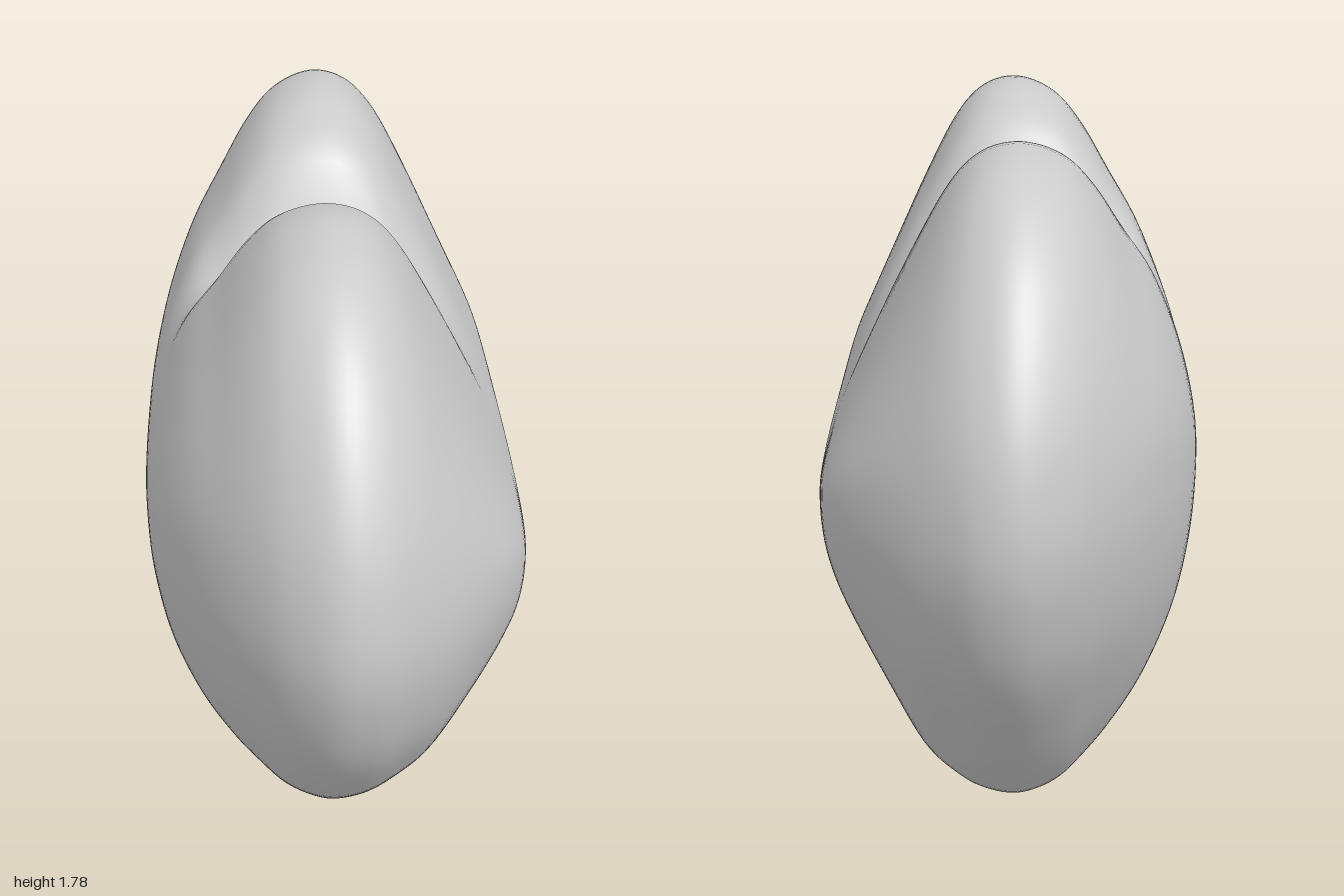
import * as THREE from 'three';

// Half of the heart outline as (z, y), from the notch round to the tip
const HALF = [[0, 1.46], [0.04, 1.52], [0.1, 1.64], [0.15, 1.71], [0.22, 1.75], [0.38, 1.78], [0.6, 1.745],
  [0.8, 1.6], [0.95, 1.36], [1, 1.13], [0.97, 0.95], [0.88, 0.755], [0.7, 0.525], [0.5, 0.31], [0.3, 0.14],
  [0.1, 0.025], [0.04, 0.004], [0, 0]];

// Slices through the thickness: x, top y, bottom y, half width, roundness (0 heart, 1 oval)
const SLICES = [
  [-0.447, 0.99, 0.94, 0.05, 1], [-0.442, 1.08, 0.79, 0.2, 0.95], [-0.428, 1.18, 0.67, 0.34, 0.85],
  [-0.39, 1.31, 0.51, 0.515, 0.7], [-0.33, 1.455, 0.34, 0.66, 0.48], [-0.26, 1.57, 0.21, 0.785, 0.28],
  [-0.19, 1.68, 0.11, 0.88, 0.13], [-0.12, 1.75, 0.035, 0.95, 0.04], [-0.03, 1.78, 0, 0.998, 0],
  [0.055, 1.76, 0.015, 0.99, 0], [0.127, 1.69, 0.06, 0.945, 0.08], [0.207, 1.545, 0.155, 0.87, 0.22],
  [0.29, 1.365, 0.345, 0.765, 0.44], [0.36, 1.2, 0.53, 0.655, 0.68], [0.4, 1.1, 0.65, 0.555, 0.82],
  [0.425, 1.03, 0.74, 0.4, 0.9], [0.438, 0.99, 0.82, 0.21, 0.97], [0.445, 0.94, 0.89, 0.05, 1]];

const spline = (points) => new THREE.CatmullRomCurve3(points, false, 'catmullrom', 0.5);

// Closed outline, normalised so that z spans -1..1 and y spans 0..1
function outline(count) {
  const half = spline(HALF.map(([z, y]) => new THREE.Vector3(z, y / 1.78, 0))).getSpacedPoints(count);
  const other = half.slice(1, -1).reverse().map((p) => new THREE.Vector3(-p.x, p.y, 0));
  return [...half, ...other];
}

// Outline point moved towards an oval; the notch fades sooner than the tip
function soften(p, round) {
  const a = Math.atan2(p.x, (p.y - 0.63) * 2);
  const c = Math.cos(a);
  const upper = c > 0;
  const ovalY = upper ? 0.63 + 0.37 * c ** 0.75 : 0.63 + 0.63 * c;
  const amount = upper ? 1 - (1 - round) ** 2 : round ** 1.4;
  return [THREE.MathUtils.lerp(p.x, Math.sin(a), amount), THREE.MathUtils.lerp(p.y, ovalY, amount)];
}

function heartGeometry() {
  const ring = outline(64);
  const n = ring.length;
  const steps = 102;
  const heights = spline(SLICES.map(([x, top, bottom]) => new THREE.Vector3(x, top, bottom)));
  const widths = spline(SLICES.map((s) => new THREE.Vector3(s[3], s[4], 0)));
  const positions = [];
  const index = [];

  // Rings from one face to the other, the outer ones bent upwards at their ends
  for (let i = 0; i <= steps; i++) {
    const { x, y: top, z: bottom } = heights.getPoint(i / steps);
    const { x: width, y } = widths.getPoint(i / steps);
    const round = THREE.MathUtils.clamp(y, 0, 1);
    for (const p of ring) {
      const [u, v] = soften(p, round);
      const z = u * width;
      positions.push(x, bottom + v * (top - bottom) + 0.35 * round * z * z, z);
    }
  }
  for (let i = 0; i < steps; i++) {
    for (let j = 0; j < n; j++) {
      const a = i * n + j;
      const b = i * n + (j + 1) % n;
      index.push(a, b, a + n, b, b + n, a + n);
    }
  }

  // Small caps closing both faces
  const back = positions.length / 3;
  positions.push(-0.448, 0.965, 0, 0.446, 0.915, 0);
  for (let j = 0; j < n; j++) {
    const k = (j + 1) % n;
    index.push(back, k, j, back + 1, steps * n + j, steps * n + k);
  }

  const geometry = new THREE.BufferGeometry();
  geometry.setAttribute('position', new THREE.Float32BufferAttribute(positions, 3));
  geometry.setIndex(index);
  geometry.computeVertexNormals();
  return geometry;
}

export function createModel() {
  const group = new THREE.Group();
  group.name = 'heart';
  const body = new THREE.Mesh(heartGeometry(), new THREE.MeshStandardMaterial({ color: 0xcccccc }));
  body.name = 'heartBody';
  group.add(body);
  return group;
}
